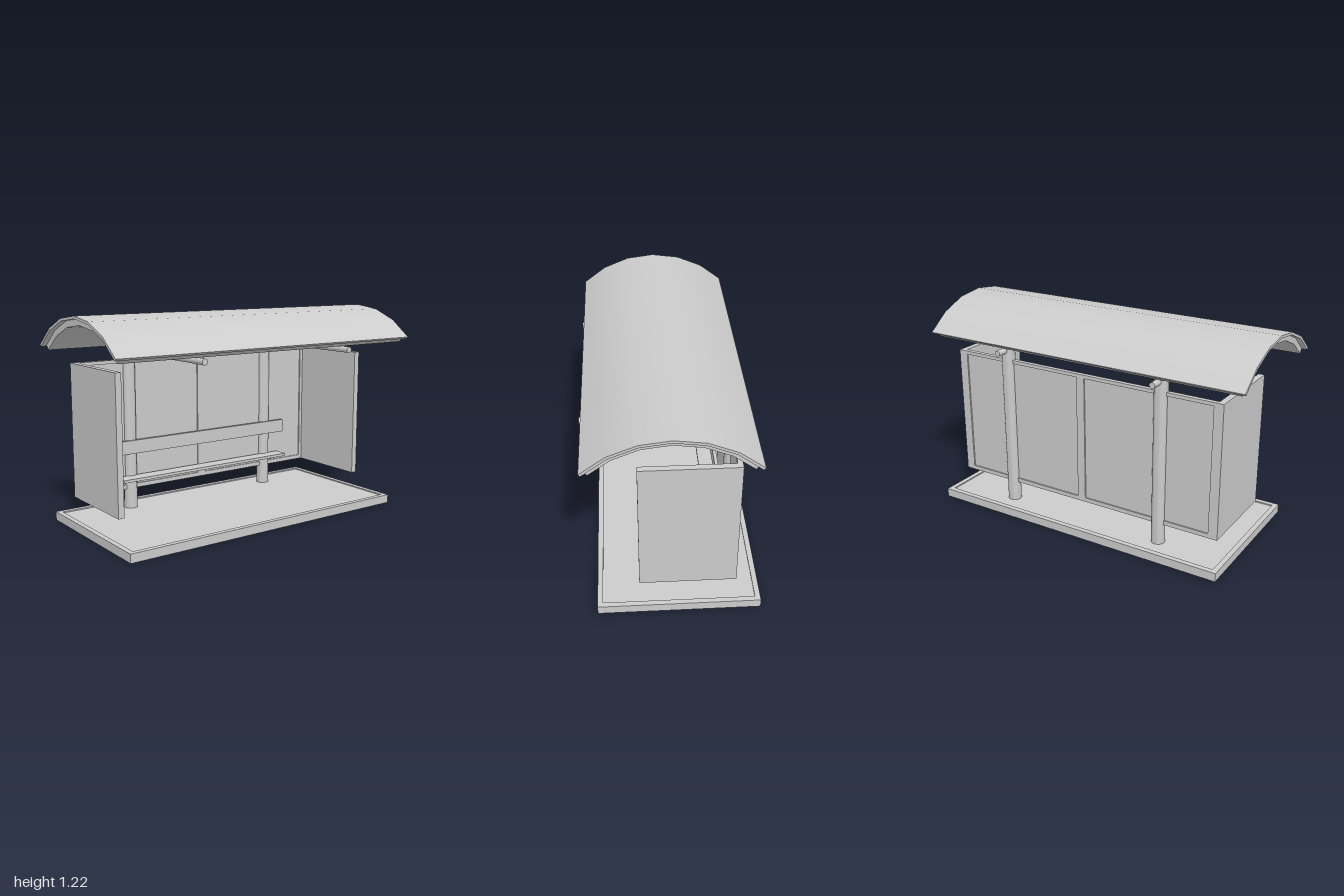
import * as THREE from 'three';
import { toCreasedNormals } from 'three/addons/utils/BufferGeometryUtils.js';

const material = new THREE.MeshStandardMaterial({ color: 0xcccccc });

export function createModel() {
  const model = new THREE.Group();
  model.name = 'busShelter';

  const add = (name, geometry, x = 0, y = 0, z = 0) => {
    const mesh = new THREE.Mesh(geometry, material);
    mesh.name = name;
    mesh.position.set(x, y, z);
    model.add(mesh);
    return mesh;
  };
  // Box given by its limits on each axis
  const box = (name, x0, x1, y0, y1, z0, z1) =>
    add(name, new THREE.BoxGeometry(x1 - x0, y1 - y0, z1 - z0), (x0 + x1) / 2, (y0 + y1) / 2, (z0 + z1) / 2);
  const rect = (PathType, x0, x1, y0, y1) =>
    new PathType([[x0, y0], [x1, y0], [x1, y1], [x0, y1]].map(p => new THREE.Vector2(...p)));
  // Round bar along z
  const bar = (name, radius, x, y, z0, z1) => {
    const geometry = new THREE.CylinderGeometry(radius, radius, z1 - z0, 20).rotateX(Math.PI / 2);
    return add(name, geometry, x, y, (z0 + z1) / 2);
  };

  // Base slab with a shallow recessed floor inside a narrow rim
  const rim = rect(THREE.Shape, -0.92, 0.92, -0.42, 0.47);
  rim.holes.push(rect(THREE.Path, -0.89, 0.89, -0.39, 0.44));
  const rimGeometry = new THREE.ExtrudeGeometry(rim, { depth: 0.05, bevelEnabled: false });
  add('baseRim', rimGeometry.rotateX(-Math.PI / 2));
  box('baseFloor', -0.89, 0.89, 0, 0.043, -0.44, 0.39);

  // Back wall: one frame with two openings and thin panes
  const frame = rect(THREE.Shape, -0.825, 0.825, 0.16, 0.935);
  for (const s of [-1, 1]) {
    const x0 = s < 0 ? -0.805 : 0.025;
    frame.holes.push(rect(THREE.Path, x0, x0 + 0.78, 0.185, 0.915));
    box('backPane', x0, x0 + 0.78, 0.185, 0.915, -0.328, -0.317);
  }
  add('backFrame', new THREE.ExtrudeGeometry(frame, { depth: 0.027, bevelEnabled: false }), 0, 0, -0.336);

  // Arched roof: ring sector in the side plane, extruded along x
  const centreY = 0.592, centreZ = 0.025, step = 0.2587;
  const arch = (name, inner, outer, endAngle, halfLength) => {
    const angles = [-endAngle, -2 * step, -step, 0, step, 2 * step, endAngle];
    const at = (r, a) => new THREE.Vector2(r * Math.sin(a) - centreZ, r * Math.cos(a) + centreY);
    const shape = new THREE.Shape([
      ...angles.map(a => at(outer, a)),
      ...angles.slice().reverse().map(a => at(inner, a)),
    ]);
    const geometry = new THREE.ExtrudeGeometry(shape, { depth: 2 * halfLength, bevelEnabled: false });
    geometry.translate(0, 0, -halfLength).rotateY(Math.PI / 2);
    add(name, toCreasedNormals(geometry, 0.5));
  };
  arch('roofSheet', 0.613, 0.628, 0.776, 1);
  arch('roofLining', 0.578, 0.613, 0.76, 0.97);

  // Post profile with a bevelled top
  const postProfile = [[0, 0.04], [0.039, 0.04], [0.039, 1.035], [0.025, 1.052], [0, 1.055]]
    .map(p => new THREE.Vector2(...p));

  for (const s of [-1, 1]) {
    // Side walls
    box('sideWall', s * 0.8425 - 0.0175, s * 0.8425 + 0.0175, 0.16, 0.935, -0.336, 0.19);

    // Post, roof beam and seat bracket
    const x = s * 0.5;
    const post = toCreasedNormals(new THREE.LatheGeometry(postProfile, 28), 0.5);
    add('post', post, x, 0, -0.325);
    bar('roofBeam', 0.0175, x, 0.993, -0.425, 0.475);
    bar('seatBracket', 0.012, x, 0.224, -0.3, -0.22);

    // Struts between beam and roof
    for (const z of [0.32, 0.185, 0.025, -0.135, -0.27]) {
      const top = centreY + Math.sqrt(0.58 ** 2 - (z - centreZ) ** 2);
      box('roofStrut', x - 0.02, x + 0.02, 1.0, top, z - 0.01, z + 0.01);
    }
  }

  // Bench
  box('benchSeat', -0.605, 0.6, 0.225, 0.242, -0.3, -0.21);
  box('benchBackrest', -0.63, 0.63, 0.377, 0.457, -0.295, -0.275);

  return model;
}
